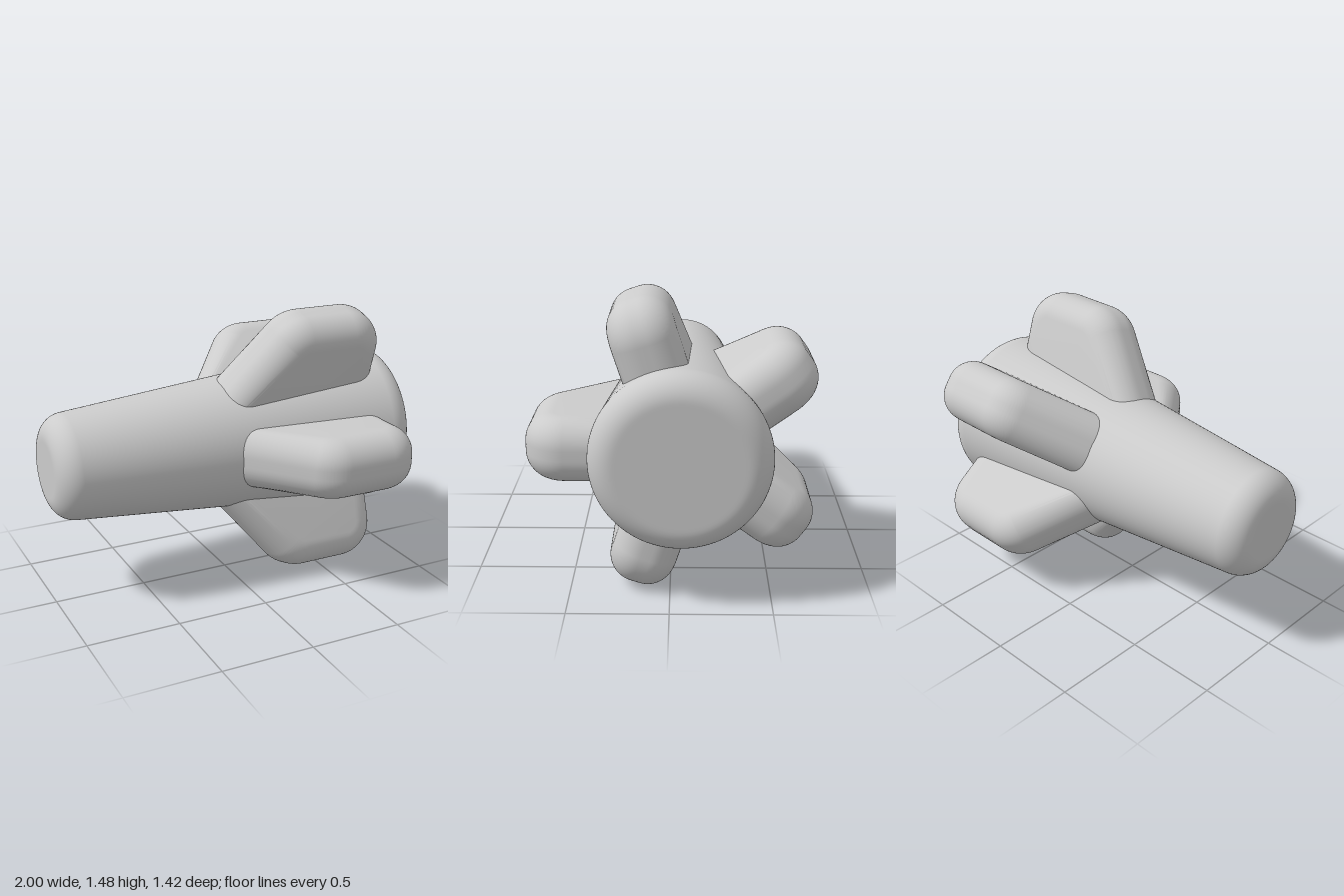
import * as THREE from 'three';
import { toCreasedNormals } from 'three/addons/utils/BufferGeometryUtils.js';

const material = new THREE.MeshStandardMaterial({ color: 0xcccccc });
const FIN_COUNT = 5;

// Tapered barrel with both rims rounded, turned around its long axis
function bodyGeometry() {
  const small = 0.155, large = 0.313, half = 0.87, round = 0.13, steps = 14;
  const slope = -Math.atan((large - small) / (2 * half));
  const points = [new THREE.Vector2(0, -1), new THREE.Vector2(small * 0.95, -1)];
  const addRim = (r, y, from, to) => {
    for (let i = 0; i <= steps; i++) {
      const a = from + (to - from) * i / steps;
      points.push(new THREE.Vector2(r + round * Math.cos(a), y + round * Math.sin(a)));
    }
  };
  addRim(small, -half, -Math.PI / 2, slope);
  addRim(large, half, slope, Math.PI / 2);
  points.push(new THREE.Vector2(large * 0.95, 1), new THREE.Vector2(0, 1));
  return new THREE.LatheGeometry(points, 96).rotateZ(-Math.PI / 2);
}

// Swept fin: side profile (x along the body, y outward) with fully rounded edges
function finGeometry() {
  const round = 0.14, flat = 0.05;
  const shape = new THREE.Shape();
  shape.moveTo(0.84, 0.1);
  shape.lineTo(0.84, 0.56);
  shape.absarc(0.64, 0.563, 0.2, 0, Math.PI / 2, false);
  shape.absarc(0.38, 0.543, 0.22, Math.PI / 2, THREE.MathUtils.degToRad(142.5), false);
  shape.lineTo(-0.237, 0.1);
  const geometry = new THREE.ExtrudeGeometry(shape, {
    depth: flat, curveSegments: 14, bevelEnabled: true, bevelSegments: 14,
    bevelThickness: round, bevelSize: round, bevelOffset: -round,
  });
  geometry.translate(0, 0, -flat / 2);
  return toCreasedNormals(geometry, 0.7);
}

export function createModel() {
  const group = new THREE.Group();
  group.position.set(0, 0.74, -0.053);

  const body = new THREE.Mesh(bodyGeometry(), material);
  body.name = 'body';
  group.add(body);

  // Fins evenly spaced around the body, the first pointing forward
  const fin = finGeometry();
  for (let i = 0; i < FIN_COUNT; i++) {
    const mesh = new THREE.Mesh(fin, material);
    mesh.name = `fin${i + 1}`;
    mesh.rotation.x = Math.PI / 2 + i * 2 * Math.PI / FIN_COUNT;
    group.add(mesh);
  }

  const model = new THREE.Group();
  model.name = 'finnedBody';
  model.add(group);
  return model;
}
